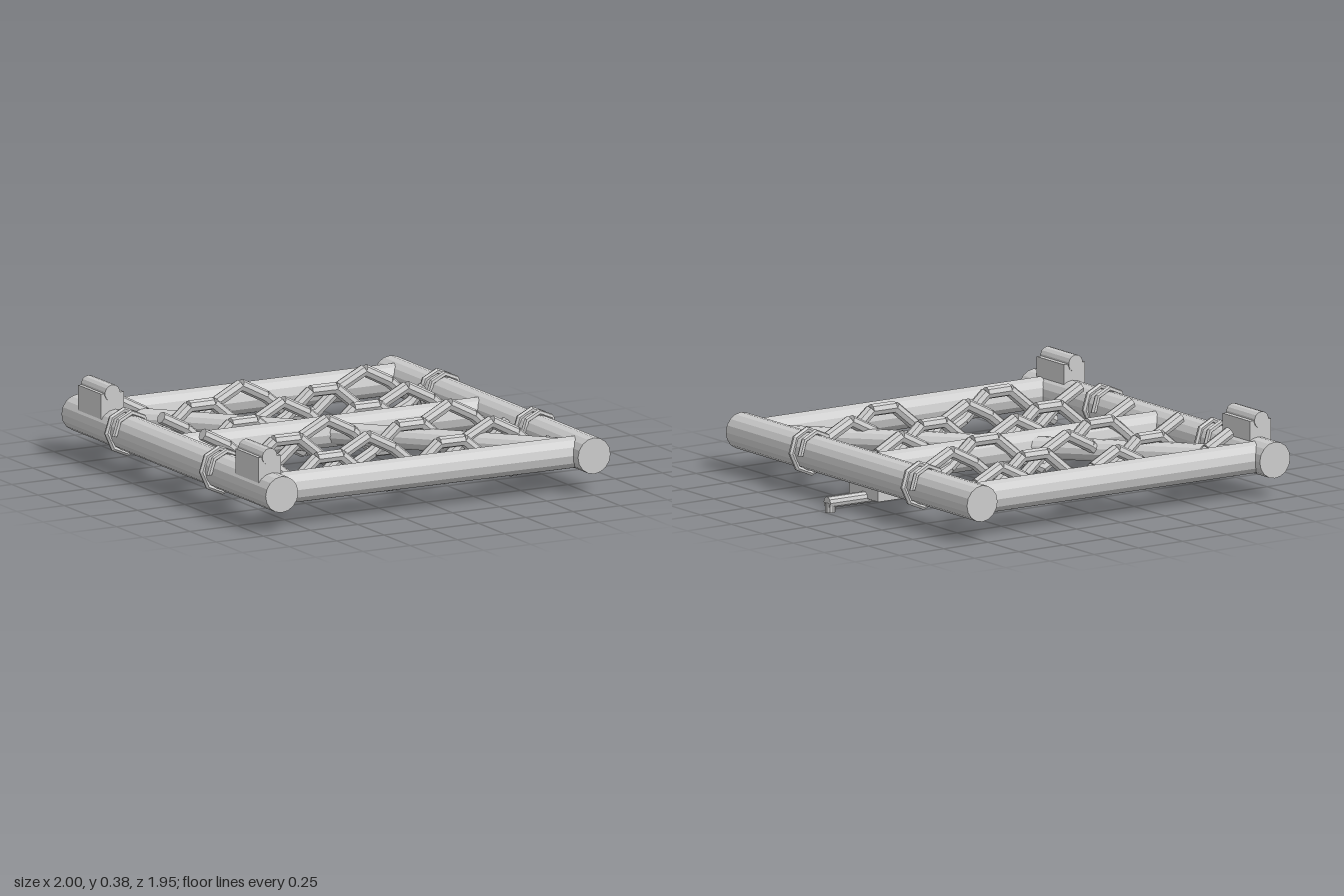
import * as THREE from 'three';

export function createModel() {
  const group = new THREE.Group();
  const grey = new THREE.MeshStandardMaterial({ color: 0xcccccc, flatShading: true, side: THREE.DoubleSide });
  grey.name = 'light grey';
  const V = (x, y, z) => new THREE.Vector3(x, y, z);

  function add(name, geometry, parent = group) {
    const mesh = new THREE.Mesh(geometry, grey);
    mesh.name = name;
    parent.add(mesh);
    return mesh;
  }

  // Round bar from point a to point b
  function bar(name, a, b, radius, sides, parent) {
    const dir = b.clone().sub(a);
    const mesh = add(name, new THREE.CylinderGeometry(radius, radius, dir.length(), sides), parent);
    mesh.position.copy(a).add(b).multiplyScalar(0.5);
    mesh.quaternion.setFromUnitVectors(V(0, 1, 0), dir.normalize());
  }

  function box(name, w, h, d, x, y, z) {
    add(name, new THREE.BoxGeometry(w, h, d)).position.set(x, y, z);
  }

  const MID = 0.18, LEFT = -0.888, RIGHT = 0.765;

  // Frame: two long posts, three cross rails, one diagonal brace
  for (const x of [LEFT, RIGHT]) bar('sidePost', V(x, MID, -0.975), V(x, MID, 0.975), 0.086, 16);
  for (const z of [-0.865, -0.065, 0.855]) bar('crossRail', V(LEFT, MID, z), V(RIGHT, MID, z), 0.076, 12);
  bar('diagonalBrace', V(-0.8, MID, -0.81), V(0.7, MID, 0.78), 0.052, 12);

  // Woven strands: straight pieces following a wave, alternating up and down
  const strandZ = [-0.72, -0.52, -0.32, -0.12, 0.075, 0.28, 0.49, 0.7];
  const bow = [-0.015, -0.015, -0.015, -0.01, 0.012, 0.012, -0.012, -0.012];
  const start = -0.81, step = 0.13, end = 0.69;
  strandZ.forEach((z0, i) => {
    const strand = new THREE.Group();
    strand.name = 'wovenStrand';
    group.add(strand);
    const sign = i % 2 ? -1 : 1;
    const point = (k) => {
      const x = Math.min(start + k * step, end);
      const y = MID + sign * 0.097 * Math.cos((Math.PI * (x - start)) / 0.325);
      return V(x, y, z0 + bow[i] * Math.sin((Math.PI * (x - start)) / (end - start)));
    };
    for (let k = 0; k < 12; k++) bar('strandPiece', point(k), point(k + 1), 0.029, 8, strand);
  });

  // Rope bindings: one and a half turns around each post
  class Helix extends THREE.Curve {
    getPoint(t, target = new THREE.Vector3()) {
      const a = Math.PI * (1 - 3 * t);
      return target.set(0.098 * Math.cos(a), 0.1 * Math.sin(a), 0.053 - 0.106 * t);
    }
  }
  for (const x of [-0.888, 0.768]) {
    for (const z of [-0.5, 0.405]) {
      add('ropeBinding', new THREE.TubeGeometry(new Helix(), 12, 0.014, 6, false)).position.set(x, MID, z);
    }
  }

  // Hinges on the left-hand post
  for (const z of [-0.727, 0.775]) {
    box('hingeBlock', 0.12, 0.12, 0.22, -0.902, 0.285, z);
    bar('hingePin', V(-0.905, 0.345, z - 0.115), V(-0.905, 0.345, z + 0.115), 0.04, 14);
  }

  // Latch under the right-hand post
  box('latchPlate', 0.16, 0.06, 0.235, 0.7, 0.073, -0.038);
  bar('latchBolt', V(0.64, 0.047, -0.043), V(0.99, 0.047, -0.043), 0.028, 10);
  bar('latchKnob', V(0.973, 0, -0.043), V(0.973, 0.045, -0.043), 0.025, 10);

  return group;
}
